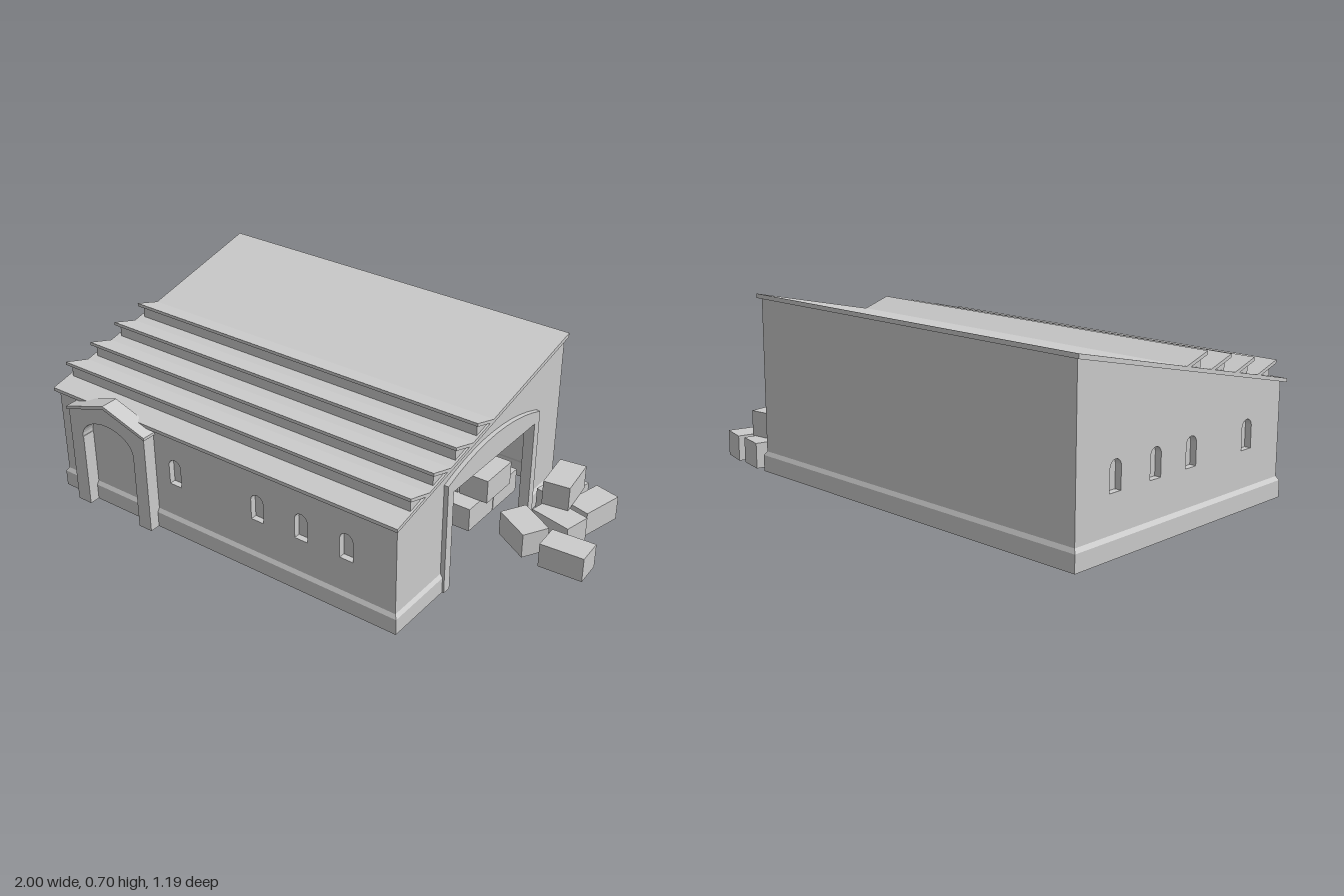
import * as THREE from 'three';

const mat = new THREE.MeshStandardMaterial({ color: 0xcccccc, side: THREE.DoubleSide });

function add(parent, name, geometry) {
  const m = new THREE.Mesh(geometry, mat);
  m.name = name;
  parent.add(m);
  return m;
}

const poly = pts => new THREE.Shape(pts.map(p => new THREE.Vector2(p[0], p[1])));
const extrude = (shape, depth) =>
  new THREE.ExtrudeGeometry(shape, { depth, bevelEnabled: false, curveSegments: 10 });

// Shape drawn in x/y, thickness along z
const alongZ = (shape, z0, z1) => extrude(shape, z1 - z0).translate(0, 0, z0);
// Shape drawn in -z/y, thickness along x
const alongX = (shape, x0, x1) => extrude(shape, x1 - x0).rotateY(Math.PI / 2).translate(x0, 0, 0);
// Points given as [z, y]
const side = pts => poly(pts.map(([z, y]) => [-z, y]));

const L = -0.98, R = 0.61, F = 0.535, B = -0.577, FOOT = 0.08, RECESS = 0.025;
const underside = z => 0.433 + (0.548 - z) * 0.2205;

// Outline of a round-headed window
function windowOutline(c) {
  const s = poly([[c - 0.028, 0.22], [c + 0.028, 0.22], [c + 0.028, 0.302]]);
  s.absarc(c, 0.302, 0.028, 0, Math.PI, false);
  return s;
}

// Window reveal and pane: an extrusion without its outer cap
function windowRecess(c) {
  const g = extrude(windowOutline(c), RECESS).translate(0, 0, -RECESS);
  const n = g.groups[0].count / 2;
  const out = new THREE.BufferGeometry();
  for (const key of ['position', 'normal']) {
    const a = Array.from(g.attributes[key].array);
    a.splice(n * 3, n * 3);
    out.setAttribute(key, new THREE.Float32BufferAttribute(a, 3));
  }
  return out;
}

// Thin wall shells with blind windows
function buildWalls(group) {
  const long = z => poly([[L, FOOT], [R, FOOT], [R, underside(z)], [L, underside(z)]]);
  const front = long(F);
  [-0.392, 0.003, 0.202, 0.4].forEach(x => {
    front.holes.push(windowOutline(x));
    add(group, 'frontWindow', windowRecess(x)).position.z = F;
  });
  add(group, 'frontWall', new THREE.ShapeGeometry(front, 10)).position.z = F;
  add(group, 'backWall', new THREE.ShapeGeometry(long(B)).rotateY(Math.PI).translate(L + R, 0, B));

  const left = poly([[B, FOOT], [F, FOOT], [F, underside(F)], [B, underside(B)]]);
  [-0.385, -0.18, 0.012, 0.335].forEach(z => {
    left.holes.push(windowOutline(z));
    add(group, 'leftWindow', windowRecess(z).rotateY(-Math.PI / 2)).position.x = L;
  });
  add(group, 'leftWall', new THREE.ShapeGeometry(left, 10).rotateY(-Math.PI / 2)).position.x = L;

  // Right wall is cut away by the loading door
  const right = side([[F, FOOT], [0.213, FOOT], [0.213, 0.42], [-0.355, 0.42],
    [-0.355, FOOT], [B, FOOT], [B, underside(B)], [F, underside(F)]]);
  add(group, 'rightWall', new THREE.ShapeGeometry(right).rotateY(Math.PI / 2)).position.x = R;
}

// Footing with a sloped top, run round the walls from one door jamb to the other
function buildPlinth(group) {
  const path = [[R, 0.245, 1, 0], [R, F, 1, 1], [L, F, -1, 1], [L, B, -1, -1], [R, B, 1, -1], [R, -0.385, 1, 0]];
  const profile = [[0.01, 0], [0.01, 0.065], [0, FOOT]];
  const at = ([x, z, dx, dz], [o, y]) => [x + dx * o, y, z + dz * o];
  const pos = [];
  for (let i = 0; i < path.length - 1; i++) {
    for (let j = 0; j < profile.length - 1; j++) {
      const a = at(path[i], profile[j]), b = at(path[i + 1], profile[j]);
      const c = at(path[i + 1], profile[j + 1]), d = at(path[i], profile[j + 1]);
      pos.push(...a, ...c, ...b, ...a, ...d, ...c);
    }
  }
  const g = new THREE.BufferGeometry();
  g.setAttribute('position', new THREE.Float32BufferAttribute(pos, 3));
  g.computeVertexNormals();
  add(group, 'footing', g);
}

// Sloping roof with four raised skylight ridges
function buildRoof(group) {
  const x0 = -1, x1 = 0.619;
  add(group, 'mainRoof', alongX(
    side([[0.548, 0.433], [0.548, 0.447], [-0.595, 0.702], [-0.595, 0.685]]), x0, x1));
  [[0.472, 0.527], [0.335, 0.556], [0.196, 0.588], [0.058, 0.618]].forEach(([z, y]) => {
    add(group, 'ridgeRoof', alongX(
      side([[z, y], [z, y - 0.013], [z - 0.09, y - 0.042], [z - 0.121, y - 0.039]]), x0, x1));
    add(group, 'ridgeWall', alongX(
      side([[z - 0.012, y - 0.015], [z - 0.012, y - 0.062], [z - 0.09, y - 0.041]]), L, R));
  });
}

// Front porch: arched surround under a small gable
function buildPorch(group) {
  const cx = -0.685;
  const body = poly([[-0.88, 0], [-0.815, 0], [-0.815, 0.31]]);
  body.absellipse(cx, 0.31, 0.133, 0.09, Math.PI, 0, true);
  [[-0.552, 0], [-0.49, 0], [-0.49, 0.415], [cx, 0.478], [-0.88, 0.415]]
    .forEach(p => body.lineTo(p[0], p[1]));
  add(group, 'porchArch', alongZ(body, 0.535, 0.588));
  const roof = poly([[-0.888, 0.412], [cx, 0.476], [-0.482, 0.412],
    [-0.482, 0.424], [cx, 0.491], [-0.888, 0.424]]);
  add(group, 'porchGable', alongZ(roof, 0.522, 0.595));
}

// Broad curved surround of the loading door
function buildDoorSurround(group) {
  const s = side([[0.25, 0], [0.213, 0], [0.213, 0.42], [-0.355, 0.42], [-0.355, 0], [-0.39, 0], [-0.39, 0.46]]);
  s.quadraticCurveTo(0.07, 0.58, -0.25, 0.46);
  add(group, 'doorSurround', alongX(s, 0.585, 0.628));
}

// Crate without a base
function crate(w, h, d) {
  const g = new THREE.BoxGeometry(w, h, d);
  const idx = Array.from(g.index.array);
  idx.splice(18, 6);
  g.setIndex(idx);
  g.clearGroups();
  return g.translate(0, h / 2, 0);
}

// Two blocks of crates inside, either side of an aisle
function buildStores(group) {
  const put = (x, y, z) =>
    add(group, 'storedCrate', crate(0.124, 0.1, 0.176)).position.set(x, y, z);
  for (let i = 0; i < 8; i++) {
    const x = -0.475 + i * 0.13;
    [0.145, 0.325, -0.22, -0.4].forEach(z => put(x, 0, z));
    if (i % 3 !== 2) {
      put(x + 0.03, 0.1, 0.248);
      put(x + 0.03, 0.1, -0.295);
    }
  }
}

// Loose crates outside the loading door: x, y, z, width, depth, turn
function buildLooseCrates(group) {
  [
    [0.705, 0, -0.488, 0.112, 0.18, -0.2],
    [0.842, 0, -0.47, 0.108, 0.178, -0.24],
    [0.739, 0.102, -0.425, 0.108, 0.178, 0.13],
    [0.787, 0, -0.31, 0.178, 0.112, -0.22],
    [0.70, 0, -0.195, 0.17, 0.112, -0.52],
    [0.907, 0, -0.153, 0.178, 0.11, 0.06],
  ].forEach(([x, y, z, w, d, turn]) => {
    const c = add(group, 'looseCrate', crate(w, 0.102, d));
    c.position.set(x, y, z);
    c.rotation.y = turn;
  });
}

export function createModel() {
  const model = new THREE.Group();
  model.name = 'warehouse';
  const parts = {
    walls: buildWalls, plinth: buildPlinth, roof: buildRoof, porch: buildPorch,
    loadingDoor: buildDoorSurround, storedCrates: buildStores, looseCrates: buildLooseCrates,
  };
  for (const [name, build] of Object.entries(parts)) {
    const g = new THREE.Group();
    g.name = name;
    build(g);
    model.add(g);
  }
  return model;
}
